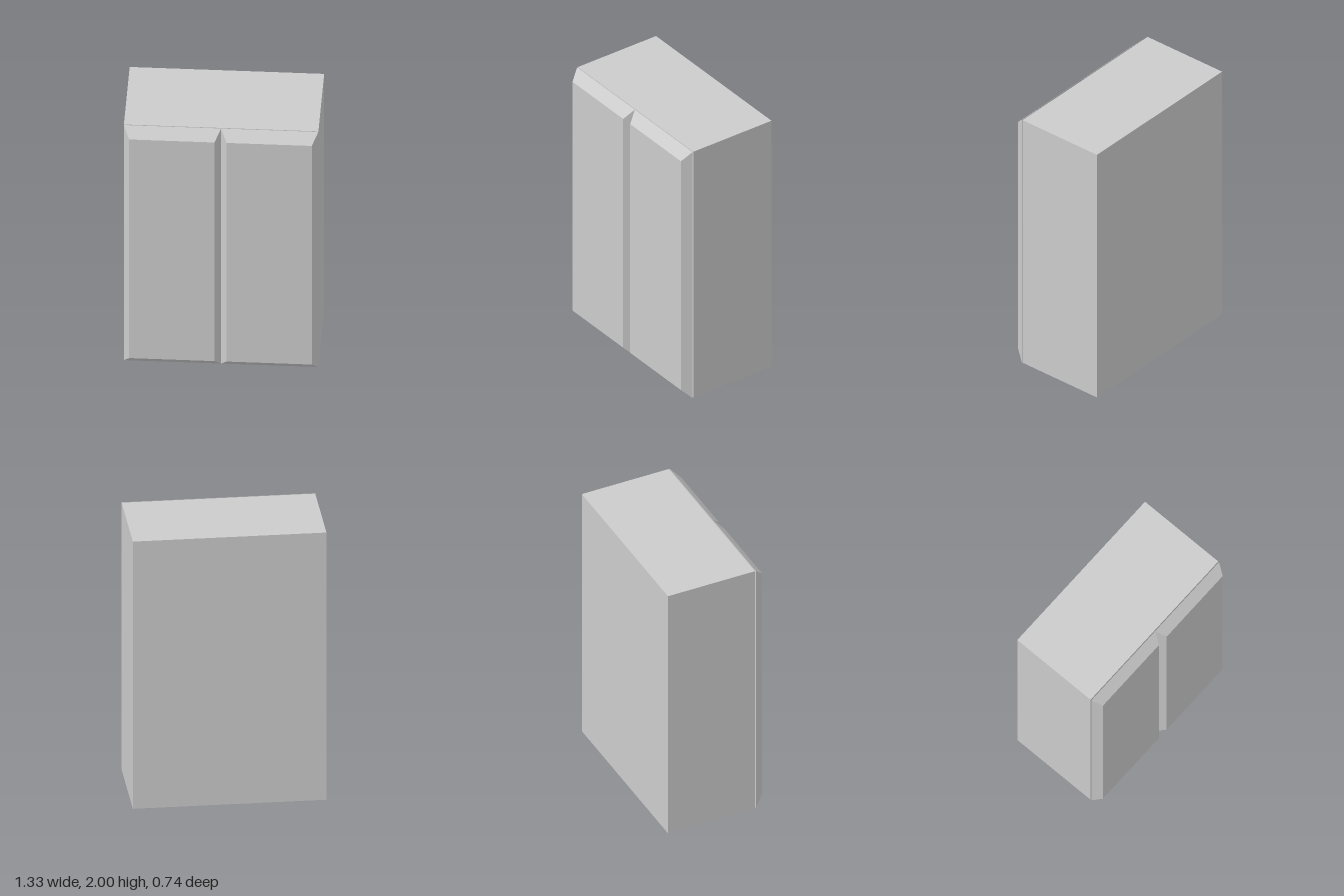
import * as THREE from 'three';

const WIDTH = 1.334, HEIGHT = 2;
const BACK = -0.37, BODY_FRONT = 0.294, DOOR_BACK = 0.301, FRONT = 0.37;
const BEVEL_X = 0.041, BEVEL_Y = 0.07;

const material = new THREE.MeshStandardMaterial({ color: 0xcccccc, flatShading: true });

// Box whose front face is drawn in to leave four sloping edges
function bevelledPanel(width, height, depth) {
  const geometry = new THREE.BoxGeometry(width, height, depth);
  const p = geometry.attributes.position;
  for (let i = 0; i < p.count; i++) {
    if (p.getZ(i) > 0) {
      p.setX(i, p.getX(i) - Math.sign(p.getX(i)) * BEVEL_X);
      p.setY(i, p.getY(i) - Math.sign(p.getY(i)) * BEVEL_Y);
    }
  }
  geometry.computeVertexNormals();
  return geometry;
}

export function createModel() {
  const group = new THREE.Group();
  group.name = 'cabinet';

  // Plain carcass
  const body = new THREE.Mesh(new THREE.BoxGeometry(WIDTH, HEIGHT, BODY_FRONT - BACK), material);
  body.name = 'cabinetBody';
  body.position.set(0, HEIGHT / 2, (BODY_FRONT + BACK) / 2);
  group.add(body);

  // Pair of bevelled doors, set just clear of the carcass
  const doorGeometry = bevelledPanel(WIDTH / 2, HEIGHT, FRONT - DOOR_BACK);
  for (const side of [-1, 1]) {
    const door = new THREE.Mesh(doorGeometry, material);
    door.name = side > 0 ? 'leftDoor' : 'rightDoor';
    door.position.set(side * WIDTH / 4, HEIGHT / 2, (DOOR_BACK + FRONT) / 2);
    group.add(door);
  }

  return group;
}
